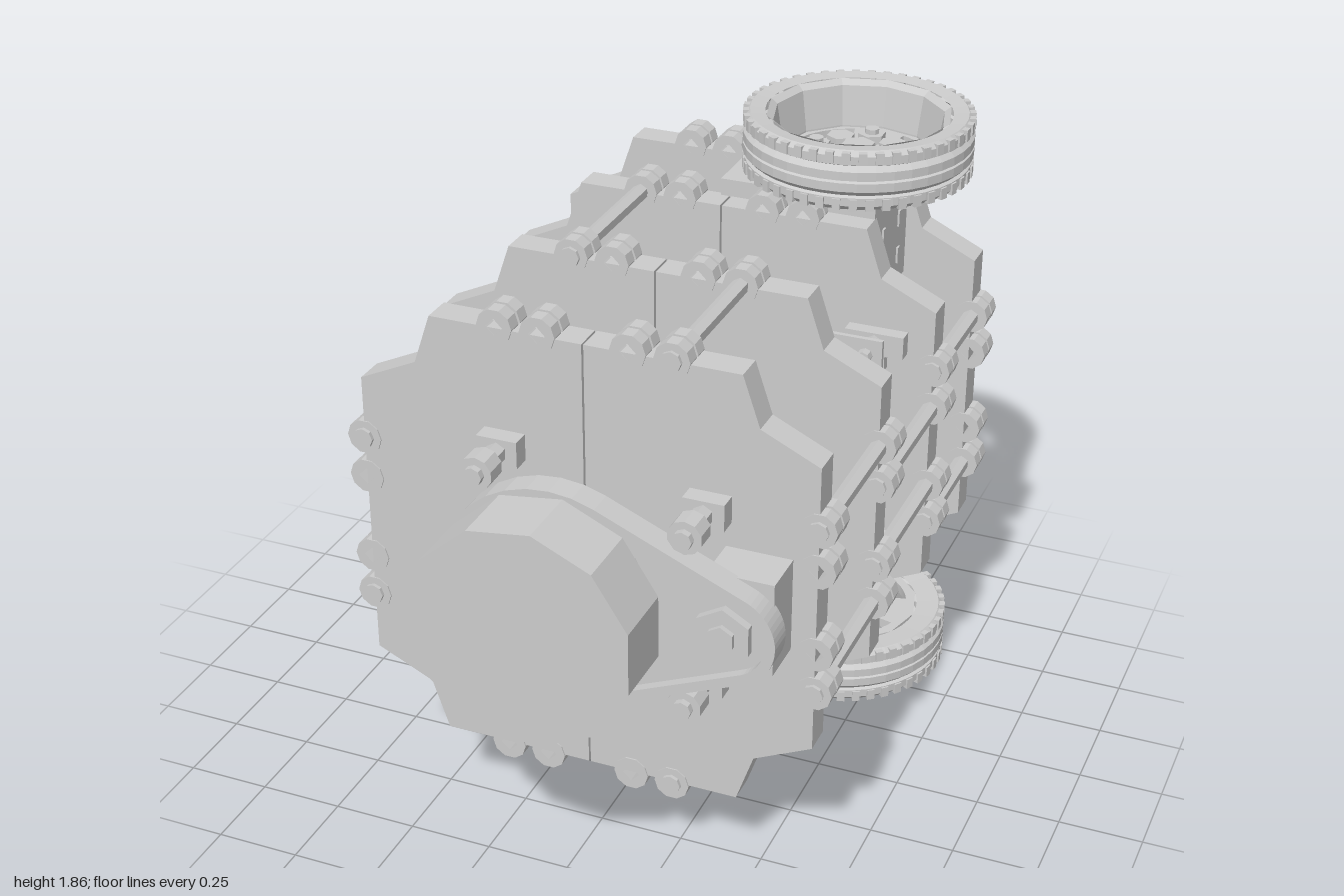
import * as THREE from 'three';
import { mergeGeometries } from 'three/addons/utils/BufferGeometryUtils.js';

const mat = new THREE.MeshStandardMaterial({ color: 0xcccccc, flatShading: true, side: THREE.DoubleSide });

function add(parent, name, geo, x = 0, y = 0, z = 0) {
  const m = new THREE.Mesh(geo, mat);
  m.name = name;
  m.position.set(x, y, z);
  parent.add(m);
  return m;
}
// box given by its min and max on each axis
function block(parent, name, x0, x1, y0, y1, z0, z1) {
  return add(parent, name, new THREE.BoxGeometry(x1 - x0, y1 - y0, z1 - z0), (x0 + x1) / 2, (y0 + y1) / 2, (z0 + z1) / 2);
}
// cylinder along z from z0 to z1
function rod(parent, name, x, y, z0, z1, r, sides = 8) {
  const g = new THREE.CylinderGeometry(r, r, z1 - z0, sides).rotateX(Math.PI / 2);
  return add(parent, name, g, x, y, (z0 + z1) / 2);
}
const extrude = (shape, depth, curveSegments = 12) =>
  new THREE.ExtrudeGeometry(shape, { depth, bevelEnabled: false, curveSegments });
const polygon = (n, r, a0 = 0, cx = 0, cy = 0) => Array.from({ length: n }, (_, i) => {
  const a = a0 + i / n * Math.PI * 2;
  return new THREE.Vector2(cx + Math.cos(a) * r, cy + Math.sin(a) * r);
});

const LAYERS = [-0.895, -0.5, 0, 0.49];   // back face of each deck
const THICK = 0.09;
const EDGE = [-0.255, -0.13, 0.13, 0.255]; // bolt spots along an edge

function deck(z) {
  const g = new THREE.Group();
  g.name = 'deck';
  const half = new THREE.Shape([[0.003, -0.668], [0.45, -0.668], [0.5, -0.52], [0.67, -0.44], [0.67, 0.44],
    [0.5, 0.52], [0.45, 0.668], [0.003, 0.668]].map(p => new THREE.Vector2(...p)));
  for (const turn of [0, Math.PI]) add(g, 'deckHalf', extrude(half, THICK)).rotation.z = turn;
  // bolt tabs with diamond holes around the rim
  const tab = new THREE.Shape(polygon(10, 0.052));
  tab.holes.push(new THREE.Path(polygon(4, 0.025)));
  const lug = mergeGeometries([extrude(tab, 0.044).translate(0, 0, -0.004), extrude(tab, 0.044).translate(0, 0, 0.05)]);
  for (const e of EDGE) for (const s of [-1, 1]) {
    add(g, 'boltTab', lug, e, s * 0.672);
    add(g, 'boltTab', lug, s * 0.67, e);
  }
  g.position.z = z;
  return g;
}

// spacer column between two decks, with a bolt through each deck
function spacer(parent, x, y, level) {
  const a = LAYERS[level] + THICK, b = LAYERS[level + 1];
  rod(parent, 'spacer', x, y, a, b, 0.025, 6);
  rod(parent, 'bolt', x, y, a - THICK - 0.015, a, 0.03, 8);
  rod(parent, 'bolt', x, y, b, b + THICK + 0.015, 0.03, 8);
}

// bracket and pin that hold a circuit board above a deck
function boardMount(parent, x, y, z, h) {
  const s = Math.sign(y);
  block(parent, 'mountBracket', x - 0.09, x + 0.09, y - 0.035, y + 0.035, z, z + 0.045);
  block(parent, 'mountFoot', x - 0.03, x + 0.03, y - 0.06 - s * 0.03, y + 0.06 - s * 0.03, z, z + 0.03);
  rod(parent, 'mountPin', x, y, z, z + h, 0.03, 6);
  rod(parent, 'mountScrew', x, y, z + h, z + h + 0.03, 0.022, 8);
}

function wheel() {
  const g = new THREE.Group();
  g.name = 'wheel';
  const profile = [[0.25, -0.085], [0.32, -0.09], [0.335, -0.075], [0.335, -0.05], [0.325, -0.045], [0.34, -0.03],
    [0.34, -0.004], [0.33, 0], [0.34, 0.004], [0.34, 0.03], [0.325, 0.045], [0.335, 0.05], [0.335, 0.075], [0.32, 0.09], [0.275, 0.085]];
  add(g, 'tyre', new THREE.LatheGeometry(profile.map(p => new THREE.Vector2(...p)), 40));
  // short tread blocks along both shoulders
  const treads = [];
  for (let i = 0; i < 44; i++) for (const y of [-0.07, 0.07])
    treads.push(new THREE.BoxGeometry(0.02, 0.034, 0.024).translate(0.33, y, 0).rotateY((i + (y > 0 ? 0.5 : 0)) / 44 * Math.PI * 2));
  add(g, 'tread', mergeGeometries(treads));
  const rim = [[0.275, 0.085], [0.255, 0.07], [0.235, -0.05], [0.235, -0.085], [0.25, -0.085]];
  add(g, 'rim', new THREE.LatheGeometry(rim.map(p => new THREE.Vector2(...p)), 12));
  // hub plate with four openings between the spokes
  const disc = new THREE.Shape(polygon(12, 0.24));
  for (let k = 0; k < 4; k++) {
    const a = Math.PI / 4 + k * Math.PI / 2, hole = new THREE.Path();
    hole.absarc(0, 0, 0.215, a - 0.42, a + 0.42, false);
    hole.absarc(0, 0, 0.165, a + 0.38, a - 0.38, true);
    hole.closePath();
    disc.holes.push(hole);
  }
  add(g, 'hubPlate', extrude(disc, 0.03).rotateX(-Math.PI / 2), 0, -0.085, 0);
  add(g, 'hubBoss', new THREE.CylinderGeometry(0.05, 0.06, 0.05, 6), 0, -0.04, 0);
  for (let k = 0; k < 8; k++) {
    const a = k * Math.PI / 4, r = k % 2 ? 0.115 : 0.13;
    add(g, 'hubNut', new THREE.CylinderGeometry(0.042, 0.042, 0.03, 6), Math.cos(a) * r, -0.045, Math.sin(a) * r);
    if (k % 2 === 0) add(g, 'hubScrew', new THREE.CylinderGeometry(0.022, 0.022, 0.02, 8), Math.cos(a) * r, -0.025, Math.sin(a) * r);
  }
  return g;
}

function scanner() {
  const g = new THREE.Group();
  g.name = 'scanner';
  const outline = (C, inset) => {
    const s = new C(), t = 1.17;
    s.absarc(-0.01, 0, 0.335 - inset, t, 2 * Math.PI - t, false);
    s.absarc(0.49, 0, 0.14 - inset, -t, t, false);
    s.closePath();
    return s;
  };
  add(g, 'scannerBase', extrude(outline(THREE.Shape, 0), 0.05, 10), 0, 0, 0.71);
  const lip = outline(THREE.Shape, 0);
  lip.holes.push(outline(THREE.Path, 0.03));
  add(g, 'scannerLip', extrude(lip, 0.03, 10), 0, 0, 0.76);
  rod(g, 'scannerCore', -0.01, 0, 0.66, 0.72, 0.2, 16);
  rod(g, 'turntable', -0.01, 0, 0.755, 0.81, 0.29, 20);
  // rotating head, eleven sided
  add(g, 'scannerHead', extrude(new THREE.Shape(polygon(11, 0.33, Math.PI)), 0.2), -0.01, 0, 0.8);
  for (const s of [-1, 1]) rod(g, 'headScrew', 0.09, s * 0.255, 0.99, 1, 0.032, 6);
  // drive motor and pulley
  block(g, 'scannerMotor', 0.41, 0.6, -0.13, 0.15, 0.58, 0.72);
  rod(g, 'pulley', 0.48, 0, 0.75, 0.785, 0.085, 6);
  rod(g, 'pulleyPin', 0.48, 0, 0.78, 0.8, 0.04, 6);
  // fixing ears on standoffs
  for (const s of [-1, 1]) for (const [x, y] of [[-0.235, 0.325], [0.365, 0.265]]) {
    rod(g, 'ear', x, s * y, 0.7, 0.765, 0.05, 10);
    rod(g, 'earStandoff', x, s * y, 0.58, 0.7, 0.03, 6);
    rod(g, 'earScrew', x, s * y, 0.76, 0.785, 0.028, 8);
    block(g, 'earBracket', x - 0.06, x + 0.06, s * y - 0.04, s * y + 0.04, 0.58, 0.635);
  }
  return g;
}

export function createModel() {
  const model = new THREE.Group();
  model.name = 'robot';
  const g = new THREE.Group();
  g.name = 'body';
  g.position.y = 0.932;
  model.add(g);

  for (const z of LAYERS) g.add(deck(z));
  for (const s of [-1, 1]) {
    for (const t of [-1, 1]) {
      spacer(g, s * 0.67, t * 0.255, 0);
      spacer(g, s * 0.67, t * 0.13, 1);
      spacer(g, s * 0.67, t * 0.255, 2);
    }
    spacer(g, -0.255, s * 0.672, 1);
    spacer(g, 0.255, s * 0.672, 2);
  }

  // drive motors, axles and wheels
  for (const s of [-1, 1]) {
    const d = new THREE.Group();
    d.name = 'drive';
    block(d, 'motor', -0.03, 0.45, 0.37, 0.72, -0.8, -0.5);
    block(d, 'motorFlange', -0.03, 0.45, 0.665, 0.72, -0.815, -0.485);
    add(d, 'axle', new THREE.CylinderGeometry(0.11, 0.11, 0.06, 16), 0.335, 0.74, -0.655);
    const w = wheel();
    w.position.set(0.335, 0.84, -0.655);
    d.add(w);
    for (const z of [-0.57, -0.72]) for (const y of [0.58, 0.46]) block(d, 'motorScrew', 0.44, 0.456, y - 0.025, y + 0.025, z - 0.01, z + 0.01);
    // turned about x for the lower one, keeping the wheel centre in place
    if (s < 0) { d.rotation.x = Math.PI; d.position.z = -1.31; }
    g.add(d);
  }

  // battery and its holders
  block(g, 'battery', -0.47, 0.42, -0.18, 0.19, -0.8, -0.52);
  block(g, 'batteryPlug', -0.2, -0.07, 0.19, 0.31, -0.64, -0.5);
  for (const x of [-0.55, 0.48]) for (const y of [-0.17, 0.1]) {
    const holder = new THREE.Shape(polygon(4, 0.09, Math.PI / 4));
    holder.holes.push(new THREE.Path(polygon(4, 0.035)));
    add(g, 'batteryHolder', extrude(holder, 0.06).rotateY(Math.PI / 2), x - 0.03, y + 0.03, -0.7);
    block(g, 'holderFoot', x - 0.06, x + 0.06, y - 0.04, y + 0.1, -0.81, -0.76);
  }

  // controller board, computer board and small adapter board
  block(g, 'controllerBoard', -0.55, 0.55, -0.4, 0.38, -0.305, -0.29);
  for (const x of [-0.5, 0.5]) for (const y of [-0.35, 0.33]) boardMount(g, x, y, -0.41, 0.12);
  block(g, 'computerBoard', -0.6, -0.06, -0.43, 0.4, 0.2, 0.215);
  for (const x of [-0.55, -0.1]) for (const y of [-0.26, 0.35]) boardMount(g, x, y, 0.09, 0.11);
  block(g, 'adapterBoard', 0.12, 0.31, -0.1, 0.1, 0.13, 0.145);
  for (const y of [-0.06, 0.06]) block(g, 'adapterFoot', 0.16, 0.27, y - 0.03, y + 0.03, 0.09, 0.13);

  // caster: sloped four-legged cage around a ball
  const caster = new THREE.Group();
  caster.name = 'caster';
  caster.position.set(-0.51, 0, -0.9);
  block(caster, 'casterPlate', -0.16, 0.16, -0.1, 0.1, -0.03, 0.01);
  for (const a of [0, 1, 2, 3]) {
    const leg = new THREE.Shape([[0.02, 0], [0.13, 0], [0.09, 0.06], [0.035, 0.085]].map(p => new THREE.Vector2(...p)));
    const geo = extrude(leg, 0.05).translate(0, 0, -0.025).rotateX(-Math.PI / 2).scale(a % 2 ? 0.75 : 1, 1, 1);
    add(caster, 'casterLeg', geo.rotateZ(a * Math.PI / 2));
  }
  add(caster, 'casterBall', new THREE.SphereGeometry(0.055, 12, 8), 0, 0, -0.04);
  g.add(caster);

  // nut rings and screws on the rear deck
  for (const y of [0.19, 0.09, -0.09, -0.19])
    add(g, 'nutRing', new THREE.TorusGeometry(0.03, 0.012, 6, 8), 0, y, -0.898);
  for (const y of [-0.55, -0.42, 0.42, 0.55]) for (const x of [0.02, 0.38])
    rod(g, 'rearScrew', x, y, -0.905, -0.89, 0.018, 4);

  g.add(scanner());
  return model;
}
